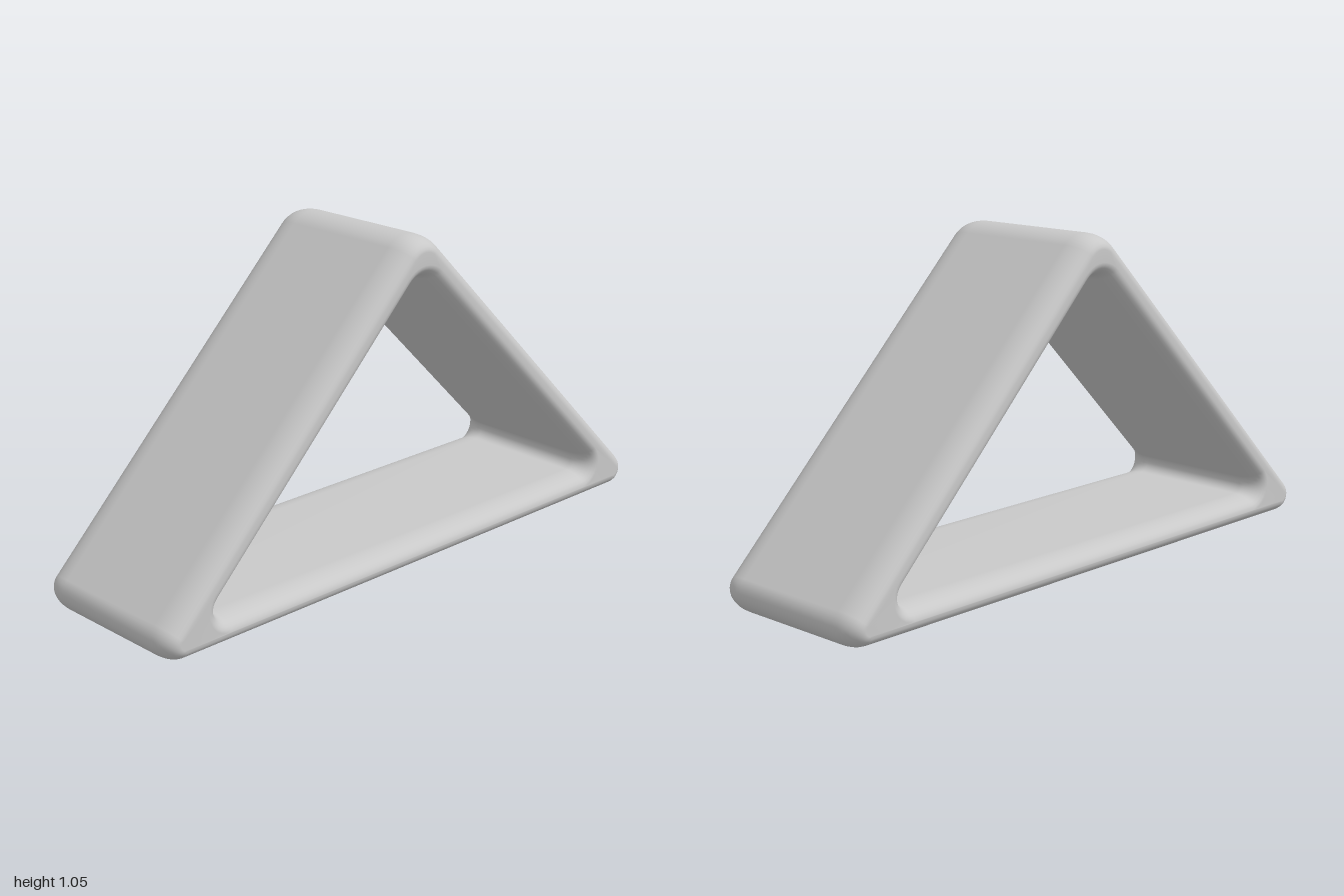
import * as THREE from 'three';

const ARC = 10;      // segments per rounded corner
const EDGE = 8;      // segments per rounded rim edge
const HALF = 0.288;  // half depth of the frame
const ROUND_IN = 0.044, ROUND_Z = 0.085;

// Rounded corners, as [centre x, centre y, radius], anticlockwise from the model's left
const outer = [[0.936, 0.064, 0.064], [0, 0.943, 0.104], [-0.936, 0.064, 0.064]];
const inner = [[0.778, 0.122, 0.032], [0, 0.86, 0.06], [-0.778, 0.122, 0.032]];
const spans = [[-90, 45], [45, 135], [135, 270]];

// Triangle outline with filleted corners, offset by d
function outline(corners, d) {
  const pts = [];
  corners.forEach(([cx, cy, r], k) => {
    for (let i = 0; i <= ARC; i++) {
      const a = THREE.MathUtils.degToRad(THREE.MathUtils.lerp(...spans[k], i / ARC));
      pts.push([cx + (r + d) * Math.cos(a), cy + (r + d) * Math.sin(a)]);
    }
  });
  return pts;
}

// Loops running around the cross-section: outer face, front rim, inner face, back rim
function frameGeometry() {
  const loops = [];
  const addEdge = (corners, sign, zSide, fromFace) => {
    for (let i = 0; i <= EDGE; i++) {
      const t = (fromFace ? i : EDGE - i) / EDGE * Math.PI / 2;
      const d = ROUND_IN * (1 - Math.cos(t));
      const z = zSide * (HALF - ROUND_Z * (1 - Math.sin(t)));
      loops.push(outline(corners, sign * d).map(([x, y]) => [x, y, z]));
    }
  };
  addEdge(outer, -1, 1, true);
  addEdge(inner, 1, 1, false);
  addEdge(inner, 1, -1, true);
  addEdge(outer, -1, -1, false);

  const m = loops.length, n = loops[0].length, index = [];
  for (let j = 0; j < m; j++) {
    for (let i = 0; i < n; i++) {
      const j1 = (j + 1) % m, i1 = (i + 1) % n;
      const a = j * n + i, b = j * n + i1, c = j1 * n + i1, d = j1 * n + i;
      index.push(a, b, c, a, c, d);
    }
  }
  const geo = new THREE.BufferGeometry();
  geo.setAttribute('position', new THREE.Float32BufferAttribute(loops.flat(2), 3));
  geo.setIndex(index);
  geo.computeVertexNormals();
  return geo;
}

export function createModel() {
  const group = new THREE.Group();
  group.name = 'triangularFrame';
  const grey = new THREE.MeshStandardMaterial({ color: 0xc8c8c8 });
  grey.name = 'light grey';
  const frame = new THREE.Mesh(frameGeometry(), grey);
  frame.name = 'frame';
  group.add(frame);
  return group;
}
